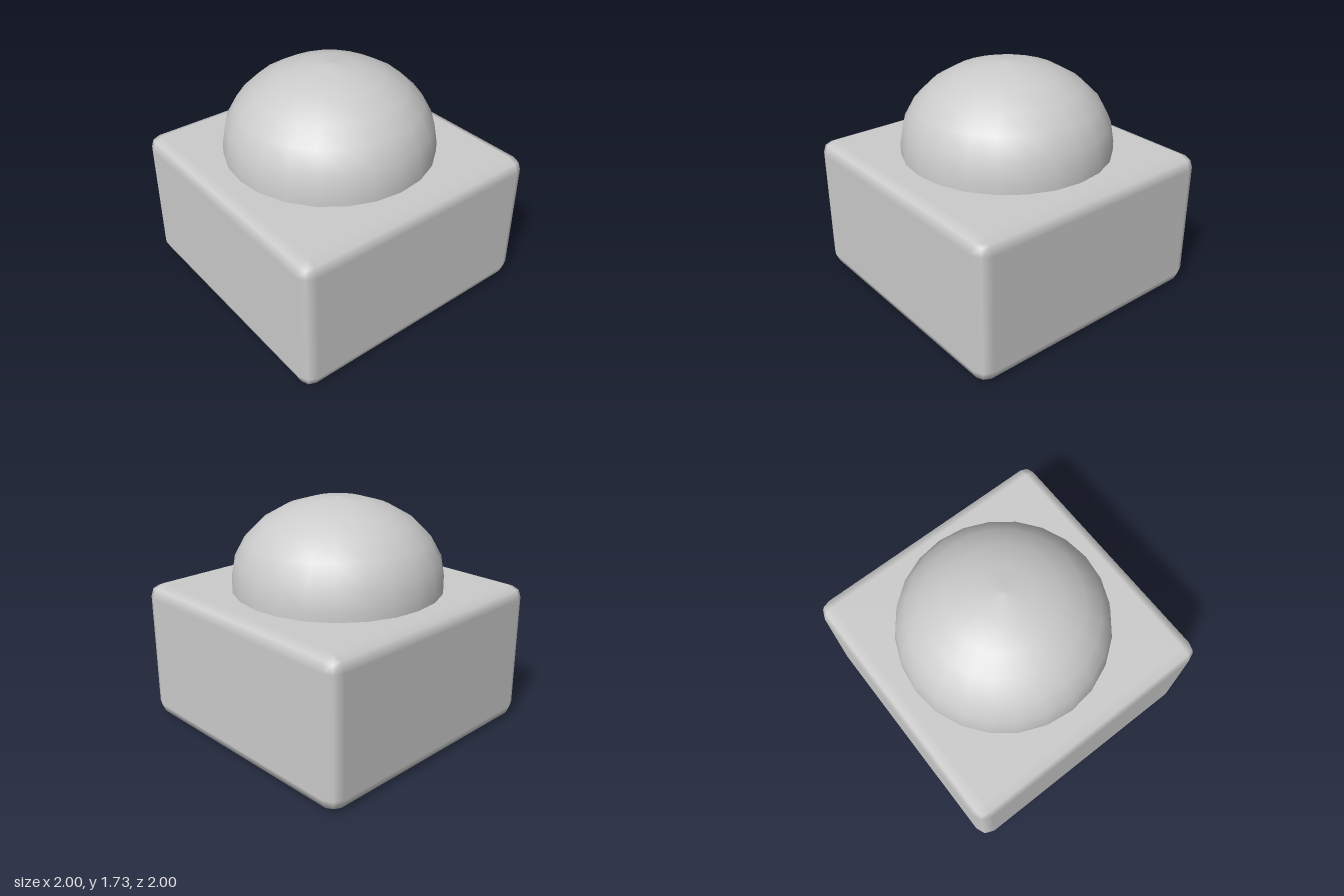
import * as THREE from 'three';
import { RoundedBoxGeometry } from 'three/addons/geometries/RoundedBoxGeometry.js';

export function createModel() {
  const model = new THREE.Group();
  const material = new THREE.MeshStandardMaterial({ color: 0xcccccc });
  const baseHeight = 1.067;

  // Square block with two-step rounded edges
  const base = new THREE.Mesh(new RoundedBoxGeometry(2, baseHeight, 2, 1, 0.1), material);
  base.name = 'base';
  base.position.y = baseHeight / 2;
  model.add(base);

  // Flattened dome on a short upright rim, set slightly to the back
  const radius = 0.777, rise = 0.585, equator = 1.142, steps = 6;
  const profile = [new THREE.Vector2(radius, baseHeight - 0.02)];
  for (let i = 0; i <= steps; i++) {
    const a = (i / steps) * Math.PI / 2;
    const r = i === steps ? 0 : radius * Math.cos(a);
    profile.push(new THREE.Vector2(r, equator + rise * Math.sin(a)));
  }
  const dome = new THREE.Mesh(new THREE.LatheGeometry(profile, 24), material);
  dome.name = 'dome';
  dome.position.z = -0.025;
  model.add(dome);

  return model;
}
